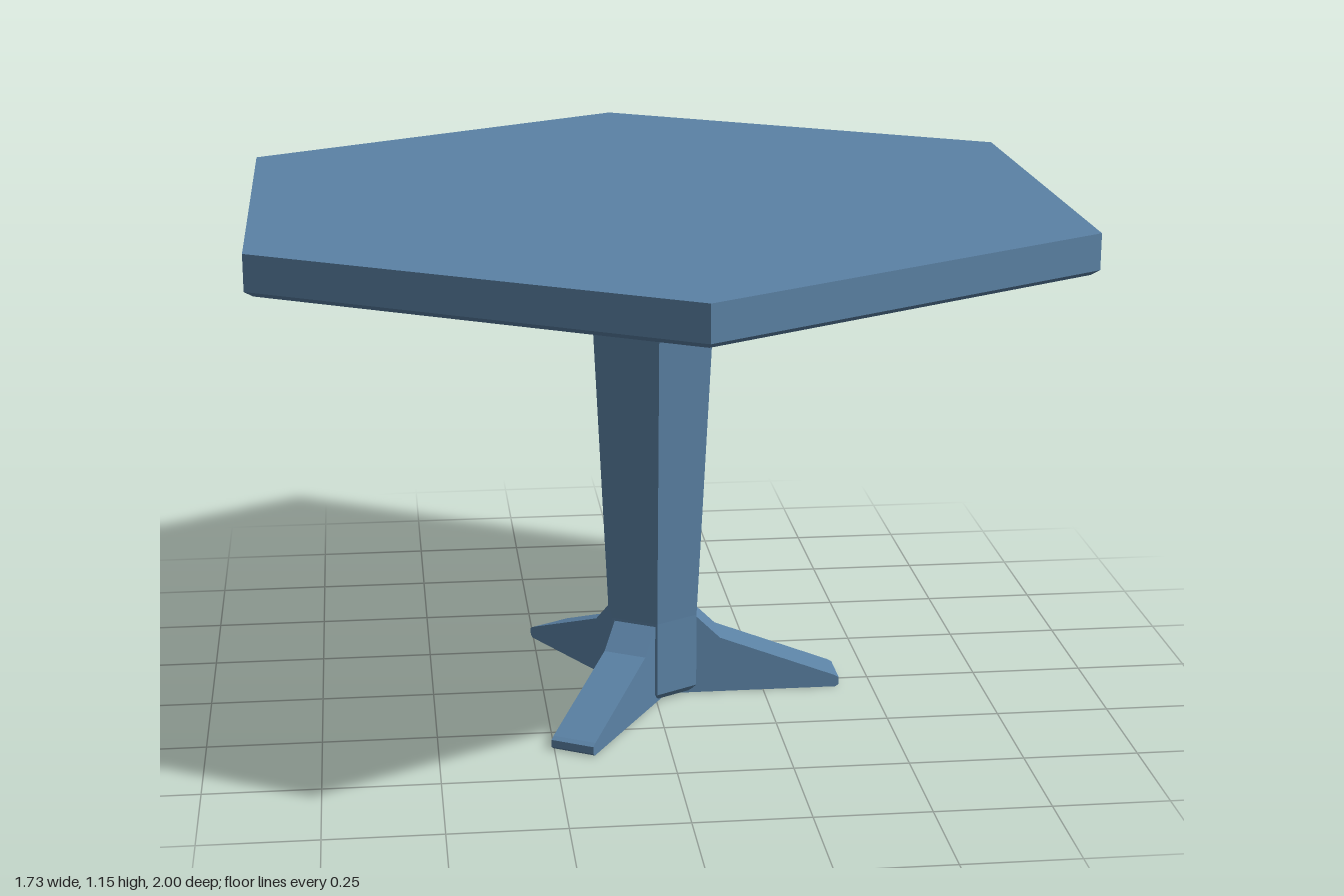
import * as THREE from 'three';

const material = new THREE.MeshStandardMaterial({ color: 0x5b82a5, flatShading: true });

// Six-sided solid from [radius, y] points, listed bottom to top, corners on the z axis
function hexSolid(name, profile) {
  const points = profile.map(([r, y]) => new THREE.Vector2(r, y));
  const mesh = new THREE.Mesh(new THREE.LatheGeometry(points, 6), material);
  mesh.name = name;
  return mesh;
}

export function createModel() {
  const table = new THREE.Group();
  table.name = 'hexagonalTable';

  // Top with a bevelled lower rim
  table.add(hexSolid('tableTop', [
    [0, 1.055], [0.93, 1.055], [0.98, 1.061], [1, 1.073], [1, 1.15], [0, 1.15],
  ]));

  // Column, widening upwards, with small bevels at both ends
  table.add(hexSolid('column', [
    [0, 0.005], [0.095, 0.005], [0.11, 0.02], [0.11, 0.19],
    [0.155, 1.04], [0.145, 1.058], [0, 1.058],
  ]));

  // Three sloping feet, each growing out of a flat side of the column
  const side = new THREE.Shape([
    [0, 0], [0.418, 0], [0.425, 0.006], [0.425, 0.022], [0.415, 0.028],
    [0.15, 0.13], [0.094, 0.185], [0, 0.185],
  ].map(([x, y]) => new THREE.Vector2(x, y)));
  const footGeometry = new THREE.ExtrudeGeometry(side, { depth: 0.1, bevelEnabled: false });
  footGeometry.translate(0, 0, -0.05);
  for (let i = 0; i < 3; i++) {
    const foot = new THREE.Mesh(footGeometry, material);
    foot.name = `foot${i + 1}`;
    foot.rotation.y = (i * Math.PI * 2) / 3;
    table.add(foot);
  }
  return table;
}
